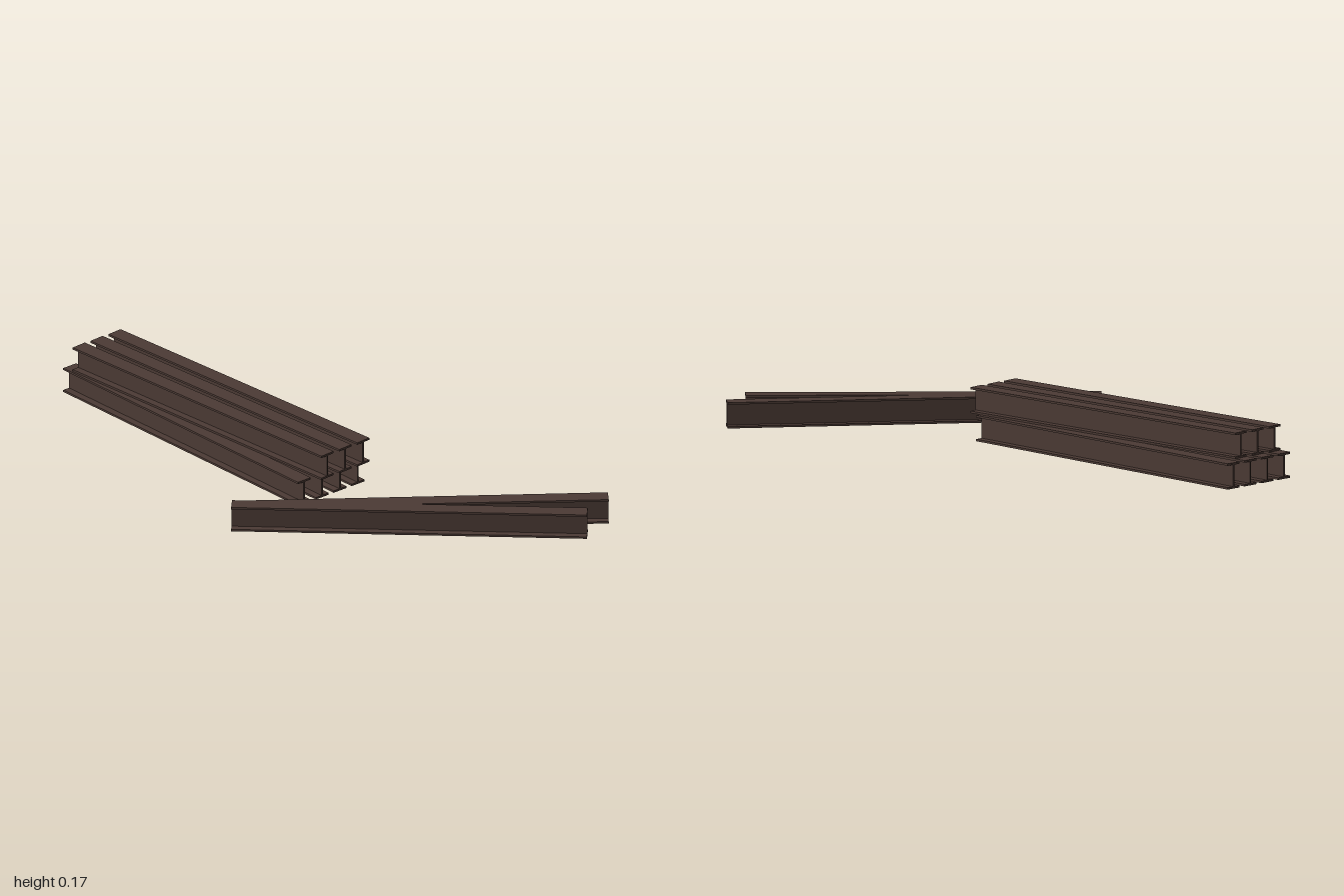
import * as THREE from 'three';

const LENGTH = 1.176, HEIGHT = 0.087, WIDTH = 0.056, FLANGE = 0.007, WEB = 0.006;

// I-shaped cross-section extruded along the beam, then laid along x
function beamGeometry() {
  const w = WIDTH / 2, t = WEB / 2, top = HEIGHT - FLANGE;
  const right = [[w, 0], [w, FLANGE], [t, FLANGE], [t, top], [w, top], [w, HEIGHT]];
  const left = right.map(([x, y]) => [-x, y]).reverse();
  const shape = new THREE.Shape([...right, ...left].map(([x, y]) => new THREE.Vector2(x, y)));
  const geo = new THREE.ExtrudeGeometry(shape, { depth: LENGTH, bevelEnabled: false });
  geo.translate(0, 0, -LENGTH / 2);
  geo.rotateY(Math.PI / 2);
  return geo;
}

export function createModel() {
  const group = new THREE.Group();
  const steel = new THREE.MeshStandardMaterial({ color: 0x4c3b35 });
  steel.name = 'rusty brown steel';
  const geo = beamGeometry();

  const addBeam = (name, x, y, z, angle) => {
    const beam = new THREE.Mesh(geo, steel);
    beam.name = name;
    beam.position.set(x, y, z);
    beam.rotation.y = angle;
    group.add(beam);
  };

  // Lower layer: four parallel beams
  for (let i = 0; i < 4; i++) addBeam(`lowerBeam${i + 1}`, -0.412, 0, -0.053 + i * 0.0785, 0);

  // Upper layer: three beams, turned slightly
  for (let i = 0; i < 3; i++) addBeam(`upperBeam${i + 1}`, -0.373, 0.088, -0.011 + i * 0.0785, 0.054);

  // Two loose beams crossing on the ground, given by their end points (x, z)
  [[0.157, 0.485, 0.975, -0.36], [0.204, 0.433, 0.93, -0.49]].forEach(([x0, z0, x1, z1], i) =>
    addBeam(`looseBeam${i + 1}`, (x0 + x1) / 2, 0, (z0 + z1) / 2, Math.atan2(z0 - z1, x1 - x0)));

  return group;
}
